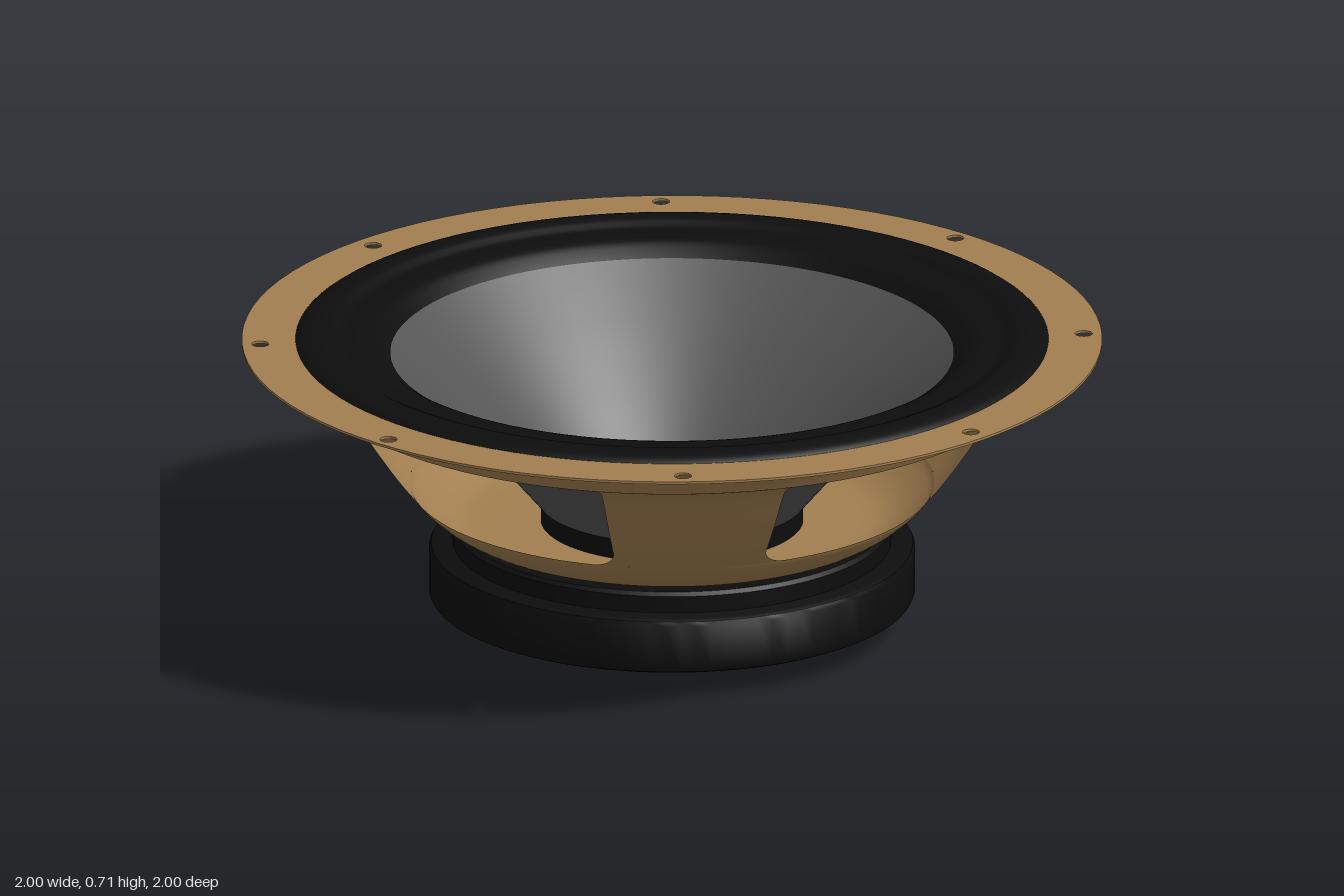
import * as THREE from 'three';
import { toCreasedNormals } from 'three/addons/utils/BufferGeometryUtils.js';

const SEGMENTS = 96;
const material = (color) => new THREE.MeshStandardMaterial({ color, side: THREE.DoubleSide });
const v2 = (p) => new THREE.Vector2(p[0], p[1]);

export function createModel() {
  const model = new THREE.Group();
  const bronze = material(0xa27f50);
  const black = material(0x0d0d0d);
  const grey = material(0x555555);

  const add = (name, geometry, mat, parent = model) => {
    const mesh = new THREE.Mesh(geometry, mat);
    mesh.name = name;
    parent.add(mesh);
    return mesh;
  };
  // Revolved part; smooth profiles pass through a spline, others keep sharp edges
  const lathe = (name, points, mat, smooth = false, parent = model) => {
    const profile = points.map(v2);
    const geometry = smooth
      ? new THREE.LatheGeometry(new THREE.SplineCurve(profile).getPoints(24), SEGMENTS)
      : toCreasedNormals(new THREE.LatheGeometry(profile, SEGMENTS), 0.5);
    return add(name, geometry, mat, parent);
  };

  // Motor: back plate, magnet ring and top plate
  lathe('backPlate', [[0, 0], [0.12, 0.001], [0.3, 0.006], [0.42, 0.026], [0.475, 0.036],
    [0.485, 0.044], [0.485, 0.058], [0.475, 0.064], [0, 0.064]], bronze);
  lathe('magnet', [[0, 0.062], [0.55, 0.062], [0.56, 0.067], [0.565, 0.077], [0.565, 0.18],
    [0.56, 0.19], [0.55, 0.195], [0, 0.195]], black);
  lathe('topPlate', [[0, 0.19], [0.51, 0.19], [0.51, 0.235], [0.5, 0.243], [0, 0.243]], black);

  // Basket: bowl, shoulder and the four pillars between the windows
  const basket = new THREE.Group();
  basket.name = 'basket';
  model.add(basket);
  lathe('bowl', [[0.3, 0.246], [0.44, 0.247], [0.5, 0.256], [0.55, 0.282], [0.595, 0.32],
    [0.61, 0.34]], bronze, true, basket);
  lathe('shoulder', [[0.83, 0.6], [0.85, 0.631], [0.875, 0.66], [0.9, 0.677], [0.94, 0.686]],
    bronze, true, basket);

  const wall = new THREE.SplineCurve([[0.61, 0.34], [0.655, 0.395], [0.71, 0.475],
    [0.755, 0.545], [0.785, 0.58], [0.83, 0.6]].map(v2));
  const wallLength = wall.getLength();
  const corner = 0.06;
  // How far a rounded window corner eats into the opening at height t
  const cornerInset = (t) => {
    const d = Math.min(t, 1 - t) * wallLength;
    if (d >= corner) return 0;
    return corner - Math.sqrt(Math.max(0, corner ** 2 - (corner - d) ** 2));
  };
  const wideHalf = THREE.MathUtils.degToRad(31);
  const narrowHalf = THREE.MathUtils.degToRad(27);
  for (let i = 0; i < 4; i++) {
    const startHalf = i % 2 ? wideHalf : narrowHalf;
    const endHalf = i % 2 ? narrowHalf : wideHalf;
    const geometry = new THREE.PlaneGeometry(1, 1, 14, 40);
    const pos = geometry.attributes.position;
    for (let k = 0; k < pos.count; k++) {
      // Rows bunch up near both ends to keep the corners round
      const t = 0.5 + 0.5 * Math.sin(pos.getY(k) * Math.PI);
      const p = wall.getPointAt(t);
      const inset = cornerInset(t) / p.x;
      const a = THREE.MathUtils.lerp(i * Math.PI / 2 + startHalf - inset,
        (i + 1) * Math.PI / 2 - endHalf + inset, 0.5 - pos.getX(k));
      pos.setXYZ(k, p.x * Math.cos(a), p.y, p.x * Math.sin(a));
    }
    geometry.computeVertexNormals();
    add('pillar' + (i + 1), geometry, bronze, basket);
  }

  // Mounting flange with eight screw holes
  const ring = new THREE.Shape().absarc(0, 0, 1, 0, Math.PI * 2);
  ring.holes.push(new THREE.Path().absarc(0, 0, 0.865, 0, Math.PI * 2, true));
  for (let i = 0; i < 8; i++) {
    const a = i * Math.PI / 4;
    ring.holes.push(new THREE.Path().absarc(0.952 * Math.cos(a), 0.963 * Math.sin(a), 0.02,
      0, Math.PI * 2, true));
  }
  const flange = new THREE.ExtrudeGeometry(ring, { depth: 0.006, bevelEnabled: false, curveSegments: 48 });
  flange.rotateX(-Math.PI / 2).translate(0, 0.685, 0);
  add('flange', toCreasedNormals(flange, 0.5), bronze, basket);

  // Moving parts: surround roll, cone, voice coil and dust cap
  lathe('surround', [[0.655, 0.658], [0.675, 0.672], [0.7, 0.686], [0.735, 0.692], [0.77, 0.692],
    [0.8, 0.705], [0.83, 0.707], [0.86, 0.7], [0.875, 0.691]], black, true);
  lathe('cone', [[0.31, 0.295], [0.4, 0.4], [0.5, 0.507], [0.585, 0.59], [0.66, 0.66]], grey, true);
  lathe('voiceCoil', [[0.305, 0.243], [0.305, 0.297]], black);
  lathe('dustCap', [[0.311, 0.3], [0.27, 0.312], [0.2, 0.325], [0.1, 0.335], [0, 0.338]], black, true);

  return model;
}
